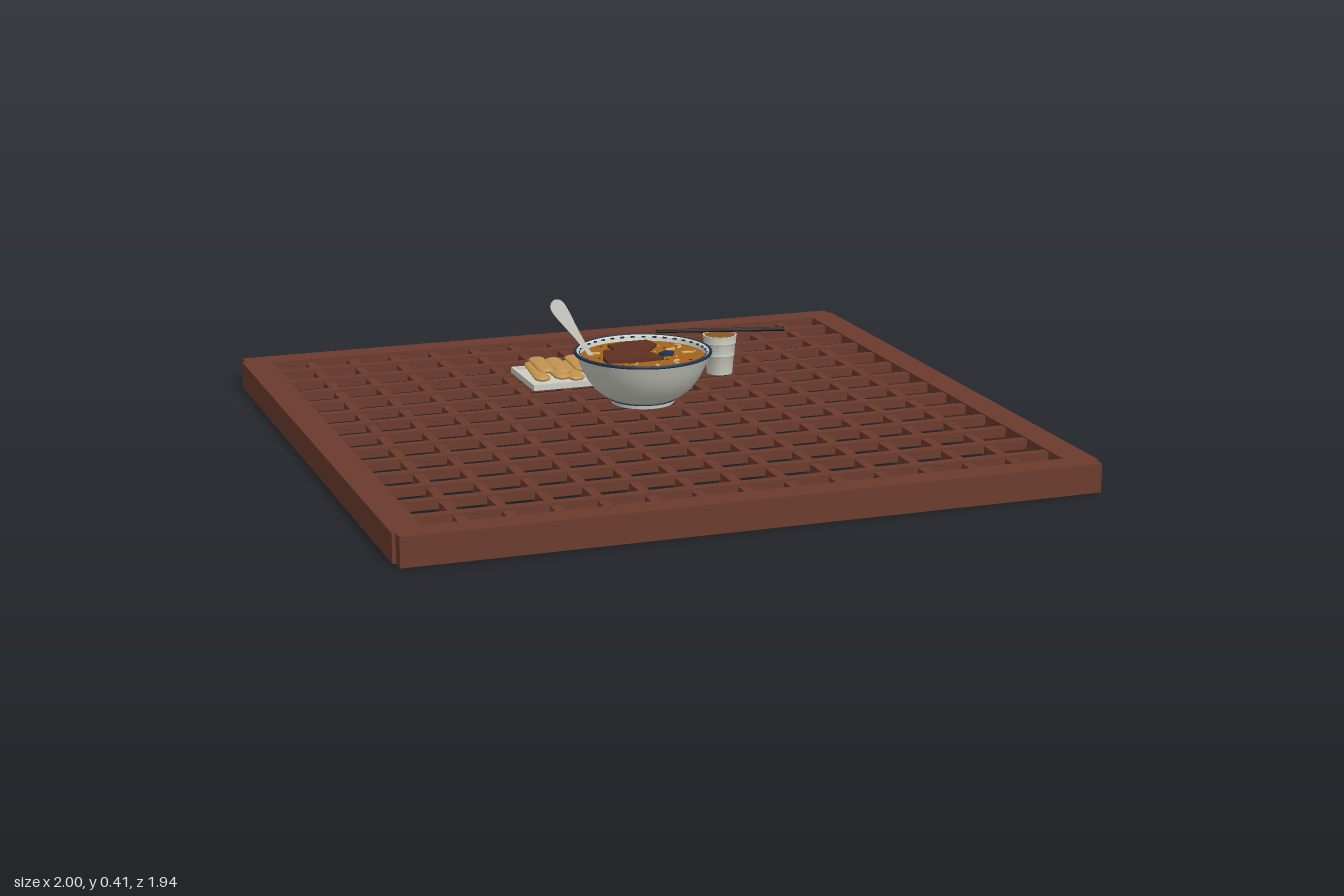
import * as THREE from 'three';
import { toCreasedNormals } from 'three/addons/utils/BufferGeometryUtils.js';

const mat = (name, color, side = THREE.FrontSide) =>
  Object.assign(new THREE.MeshStandardMaterial({ color, side }), { name });

export function createModel() {
  const model = new THREE.Group();
  model.name = 'soupOnLatticeTable';
  const wood = mat('wood', 0x6b3b2d);
  const china = mat('china', 0xcdcec3);
  const blue = mat('blueGlaze', 0x1d3350);
  const broth = mat('broth', 0xa3621a);
  const meat = mat('meat', 0x5f3122);
  const onion = mat('onion', 0xd2ae6c);
  const roll = mat('roll', 0xc0924f);
  const tea = mat('tea', 0x8a5520);
  const black = mat('blackLacquer', 0x17130f);

  const group = (name, parent = model) => {
    const g = new THREE.Group();
    g.name = name;
    parent.add(g);
    return g;
  };
  const add = (parent, name, geometry, material, x = 0, y = 0, z = 0) => {
    const m = new THREE.Mesh(geometry, material);
    m.name = name;
    m.position.set(x, y, z);
    parent.add(m);
    return m;
  };
  const box = (parent, name, material, w, h, d, x, y, z) =>
    add(parent, name, new THREE.BoxGeometry(w, h, d), material, x, y, z);
  const lathe = (points, sides = 48) => toCreasedNormals(
    new THREE.LatheGeometry(points.map(p => new THREE.Vector2(...p)), sides), 0.6);
  // Thin slab with its outline in x and z and its top at y = 0
  const slab = (points, depth) => new THREE.ExtrudeGeometry(
    new THREE.Shape(points.map(p => new THREE.Vector2(...p))),
    { depth, bevelEnabled: false }).rotateX(Math.PI / 2);
  let seed = 7;
  const rand = () => (seed = (seed * 16807) % 2147483647) / 2147483647;

  // Table top: four rails around a crossed lattice
  const table = group('tableTop');
  for (const s of [-1, 1]) {
    box(table, 'endRail', wood, 1.98, 0.083, 0.08, 0, 0.0415, s * 0.93);
    box(table, 'sideRail', wood, 0.088, 0.082, 1.86, s * 0.956, 0.0415, 0);
  }
  for (let i = -6; i <= 6; i++) {
    box(table, 'crossBar', wood, 1.84, 0.027, 0.028, 0, 0.065, i * 0.132);
    box(table, 'longBar', wood, 0.028, 0.027, 1.8, i * 0.132, 0.058, 0);
  }

  // Bowl with a footed base and glazed rims
  const bowl = group('bowl');
  add(bowl, 'bowlBody', lathe([
    [0, 0.102], [0.092, 0.102], [0.094, 0.116], [0.118, 0.128], [0.145, 0.15], [0.168, 0.182],
    [0.184, 0.215], [0.198, 0.252], [0.194, 0.256], [0.187, 0.252], [0.18, 0.225], [0.15, 0.17], [0, 0.125],
  ]), china);
  const ring = (name, r, t, y) =>
    add(bowl, name, new THREE.TorusGeometry(r, t, 8, 56).rotateX(Math.PI / 2), blue, 0, y);
  ring('rimBand', 0.198, 0.005, 0.253);
  ring('footBand', 0.095, 0.0025, 0.115);
  for (let i = 0; i < 36; i++) {
    const a = i / 36 * Math.PI * 2;
    box(bowl, 'rimDash', blue, 0.006, 0.004, 0.012,
      Math.cos(a) * 0.187, 0.251, Math.sin(a) * 0.187).rotation.y = -a;
  }

  // Soup with meat slices, onion and herbs
  const soup = group('soup');
  add(soup, 'broth', new THREE.CylinderGeometry(0.183, 0.178, 0.012, 48), broth, 0, 0.234);
  add(soup, 'meatSlice', slab([[-0.065, -0.13], [0, -0.15], [0.065, -0.15], [0.075, -0.09],
    [0.03, -0.03], [-0.015, -0.025], [-0.065, -0.07]], 0.01), meat, 0, 0.248);
  add(soup, 'meatSlice', slab([[-0.1, -0.065], [-0.05, -0.05], [0.025, 0.005], [0.04, 0.07],
    [-0.04, 0.075], [-0.13, 0.06], [-0.13, 0.02]], 0.01), meat, 0, 0.25);
  add(soup, 'herbLeaf', slab([[0.045, 0.01], [0.075, -0.015], [0.095, 0.005], [0.08, 0.035],
    [0.055, 0.03]], 0.008), blue, 0, 0.247);
  const arc = new THREE.TorusGeometry(0.02, 0.005, 6, 12, 2.4).rotateX(Math.PI / 2);
  for (const [x, z, a] of [[0.12, -0.07, 1], [0.13, 0.03, 2.5], [0.08, 0.11, 4], [-0.02, 0.13, 0.4],
    [-0.12, -0.08, 5], [0.1, -0.02, 3.2]]) {
    add(soup, 'onionSliver', arc, onion, x, 0.241, z).rotation.y = a;
  }
  for (let i = 0; i < 50; i++) {
    const a = rand() * 6.283, r = 0.05 + 0.12 * rand();
    box(soup, 'herbFleck', i % 3 ? meat : onion, 0.008, 0.003, 0.005,
      Math.cos(a) * r, 0.2405, Math.sin(a) * r).rotation.y = a * 3;
  }

  // Spoon: thin handle widening to a rounded end, resting inside the bowl
  const outline = new THREE.Shape();
  outline.moveTo(-0.006, 0);
  outline.bezierCurveTo(-0.008, 0.1, -0.022, 0.14, -0.022, 0.18);
  outline.bezierCurveTo(-0.022, 0.216, 0.022, 0.216, 0.022, 0.18);
  outline.bezierCurveTo(0.022, 0.14, 0.008, 0.1, 0.006, 0);
  const spoon = add(model, 'spoonHandle', new THREE.ExtrudeGeometry(outline,
    { depth: 0.005, bevelEnabled: false, curveSegments: 12 }), china, -0.14, 0.235, -0.055);
  spoon.rotation.set(-0.09, 0, 0.57);

  // Shallow tray with a raised lip
  const tray = group('tray');
  tray.position.set(-0.093, 0, -0.332);
  box(tray, 'trayBase', china, 0.33, 0.01, 0.215, 0, 0.107, 0);
  for (const s of [-1, 1]) {
    box(tray, 'trayLip', china, 0.35, 0.018, 0.012, 0, 0.111, s * 0.111);
    box(tray, 'trayLip', china, 0.012, 0.018, 0.23, s * 0.169, 0.111, 0);
  }
  // Flattened pastry strips leaning across the tray
  const strip = new THREE.CapsuleGeometry(0.026, 0.125, 4, 12).rotateX(Math.PI / 2).scale(1, 0.36, 1);
  for (let i = 0; i < 6; i++) {
    const p = add(tray, 'pastry', strip, roll, -0.122 + i * 0.05, 0.126 + (i % 2) * 0.004, -0.018 + (i % 3) * 0.012);
    p.rotation.set(0.07, (i % 2 ? 1 : -1) * 0.07, 0);
  }
  for (const [x, z] of [[-0.1, -0.045], [-0.055, -0.02], [0.01, -0.03]]) {
    const p = add(tray, 'topPastry', strip, roll, x, 0.138, z);
    p.scale.set(1, 0.8, 0.8);
    p.rotation.x = 0.08;
  }

  // Cup with raised bands, holding tea
  const cup = group('cup');
  cup.position.set(0.333, 0, -0.242);
  add(cup, 'cupBody', lathe([
    [0, 0.102], [0.039, 0.102], [0.044, 0.158], [0.046, 0.161], [0.045, 0.165], [0.048, 0.195],
    [0.05, 0.198], [0.049, 0.202], [0.052, 0.222], [0.048, 0.222], [0.046, 0.205], [0, 0.205],
  ], 32), china);
  add(cup, 'tea', new THREE.CylinderGeometry(0.0478, 0.046, 0.008, 32), tea, 0, 0.215);

  // Pair of chopsticks laid across the cup
  const sticks = group('chopsticks');
  sticks.position.set(0.34, 0.231, -0.255);
  sticks.rotation.y = -0.257;
  for (const s of [-1, 1]) {
    const stick = add(sticks, 'chopstick',
      new THREE.CylinderGeometry(0.0035, 0.005, 0.39, 8).rotateZ(Math.PI / 2), black, 0, 0, s * 0.008);
    stick.rotation.y = s * 0.008;
  }
  return model;
}
